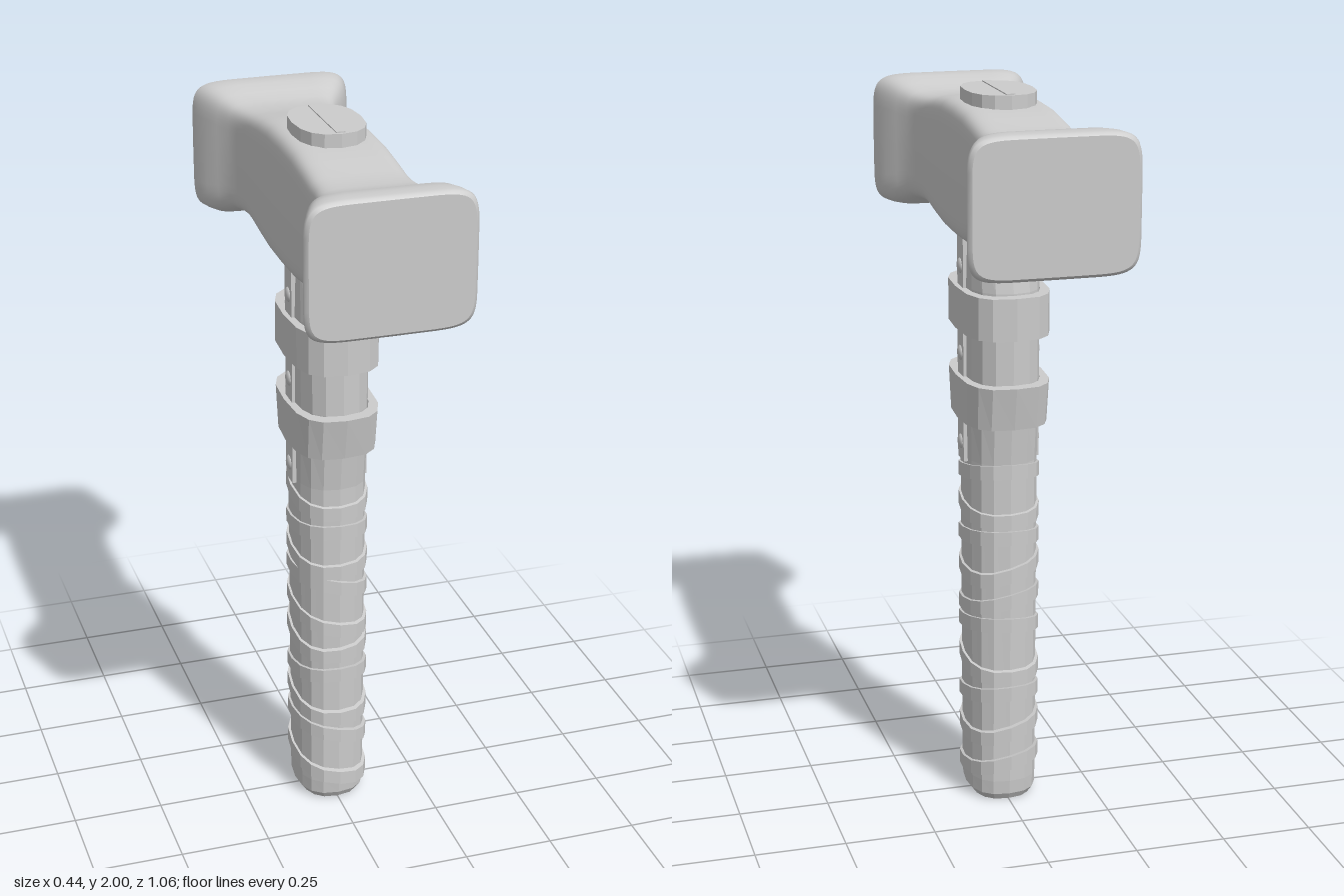
import * as THREE from 'three';

const grey = (flat) => new THREE.MeshStandardMaterial({ color: 0xcccccc, flatShading: flat });

// point on a superellipse with half sizes a, b and squareness p
function superPoint(t, a, b, p) {
  const f = (v, r) => Math.sign(v) * r * Math.pow(Math.abs(v), 2 / p);
  return [f(Math.cos(t), a), f(Math.sin(t), b)];
}

// skin over cross-sections [y, halfX, halfZ], optionally tilted and capped
function loft(sections, { n = 16, p = 2.5, caps = true, tiltX = 0, tiltZ = 0 } = {}) {
  const pos = [], idx = [];
  const addRing = ([y, a, b]) => {
    const start = pos.length / 3;
    for (let i = 0; i < n; i++) {
      const [x, z] = superPoint((i / n) * Math.PI * 2, a, b, p);
      pos.push(x, y + tiltX * x + tiltZ * z, z);
    }
    return start;
  };
  const starts = sections.map(addRing);
  for (let s = 0; s + 1 < starts.length; s++) {
    for (let i = 0; i < n; i++) {
      const j = (i + 1) % n, a = starts[s], b = starts[s + 1];
      idx.push(a + i, b + i, b + j, a + i, b + j, a + j);
    }
  }
  if (caps) {
    [sections[0], sections[sections.length - 1]].forEach((sec, k) => {
      const r = addRing(sec), c = pos.length / 3;
      pos.push(0, sec[0], 0);
      for (let i = 0; i < n; i++) {
        const j = (i + 1) % n;
        if (k) idx.push(c, r + j, r + i);
        else idx.push(c, r + i, r + j);
      }
    });
  }
  const g = new THREE.BufferGeometry();
  g.setAttribute('position', new THREE.Float32BufferAttribute(pos, 3));
  g.setIndex(idx);
  g.computeVertexNormals();
  return g;
}

// hollow band: outer wall, top rim, inner wall, bottom rim
function band(y0, y1, outer0, outer1, inner, options) {
  return loft([[y0, ...outer0], [y1, ...outer1], [y1, ...inner], [y0, ...inner], [y0, ...outer0]],
    { ...options, caps: false });
}

export function createModel() {
  const root = new THREE.Group();
  const add = (name, geometry, flat = true, parent = root) => {
    const m = new THREE.Mesh(geometry, grey(flat));
    m.name = name;
    parent.add(m);
    return m;
  };

  // head: [distance from centre, half width, half height], mirrored front to back
  const half = [
    [0, 0.134, 0.181], [0.11, 0.134, 0.178], [0.2, 0.134, 0.166], [0.27, 0.134, 0.154],
    [0.31, 0.135, 0.15], [0.35, 0.143, 0.149], [0.39, 0.156, 0.152], [0.425, 0.178, 0.166],
    [0.46, 0.2, 0.18], [0.49, 0.212, 0.183], [0.515, 0.222, 0.182], [0.524, 0.22, 0.179], [0.53, 0.212, 0.172],
  ];
  const mirrored = half.slice(1).reverse().map(([d, w, h]) => [-d, w, h]);
  const head = add('hammerHead', loft([...mirrored, ...half], { n: 64, p: 7 }), false);
  head.rotation.x = Math.PI / 2;
  head.position.y = 1.785;

  // handle, widening below the head and passing through it
  add('handle', loft([
    [0, 0.082, 0.105], [0.02, 0.096, 0.117], [0.06, 0.097, 0.12], [1.0, 0.098, 0.126],
    [1.11, 0.1, 0.138], [1.23, 0.1, 0.152], [1.48, 0.1, 0.152], [1.6, 0.097, 0.132], [1.997, 0.093, 0.13],
  ]));
  const wedge = add('wedge', new THREE.BoxGeometry(0.024, 0.03, 0.24));
  wedge.position.y = 1.985;

  // metal collars
  const inner = [0.098, 0.15];
  add('upperCollar', band(1.36, 1.475, [0.12, 0.186], [0.12, 0.186], inner, { n: 16, p: 3 }));
  add('lowerCollar', band(1.11, 1.23, [0.117, 0.163], [0.12, 0.186], inner, { n: 16, p: 3 }));

  // riveted side straps
  for (const side of [1, -1]) {
    const strap = new THREE.Group();
    strap.name = side > 0 ? 'leftStrap' : 'rightStrap';
    add('strapPlate', new THREE.BoxGeometry(0.02, 0.63, 0.06), true, strap).position.set(side * 0.096, 1.305, 0);
    for (const y of [1.04, 1.29, 1.53]) {
      const rivet = add('rivet', new THREE.SphereGeometry(0.021, 12, 8), false, strap);
      rivet.position.set(side * 0.104, y, 0);
      rivet.scale.x = 0.5;
    }
    root.add(strap);
  }

  // grip wrapping: [height, rise toward the left, rise toward the front]
  const wraps = new THREE.Group();
  wraps.name = 'gripWrapping';
  [
    [0.955, 0.02, -0.2], [0.855, -0.03, 0.12], [0.77, 0.03, -0.16], [0.69, -0.25, 0.06],
    [0.585, -0.2, -0.16], [0.51, 0.06, -0.2], [0.4, 0, 0.16], [0.305, -0.03, -0.2],
    [0.215, -0.25, 0.04], [0.1, -0.2, -0.16],
  ].forEach(([y, tiltX, tiltZ]) => {
    const o = [0.104, 0.135];
    add('gripWrap', band(y - 0.02, y + 0.02, o, o, [0.09, 0.115], { tiltX, tiltZ }), true, wraps);
  });
  root.add(wraps);

  return root;
}
